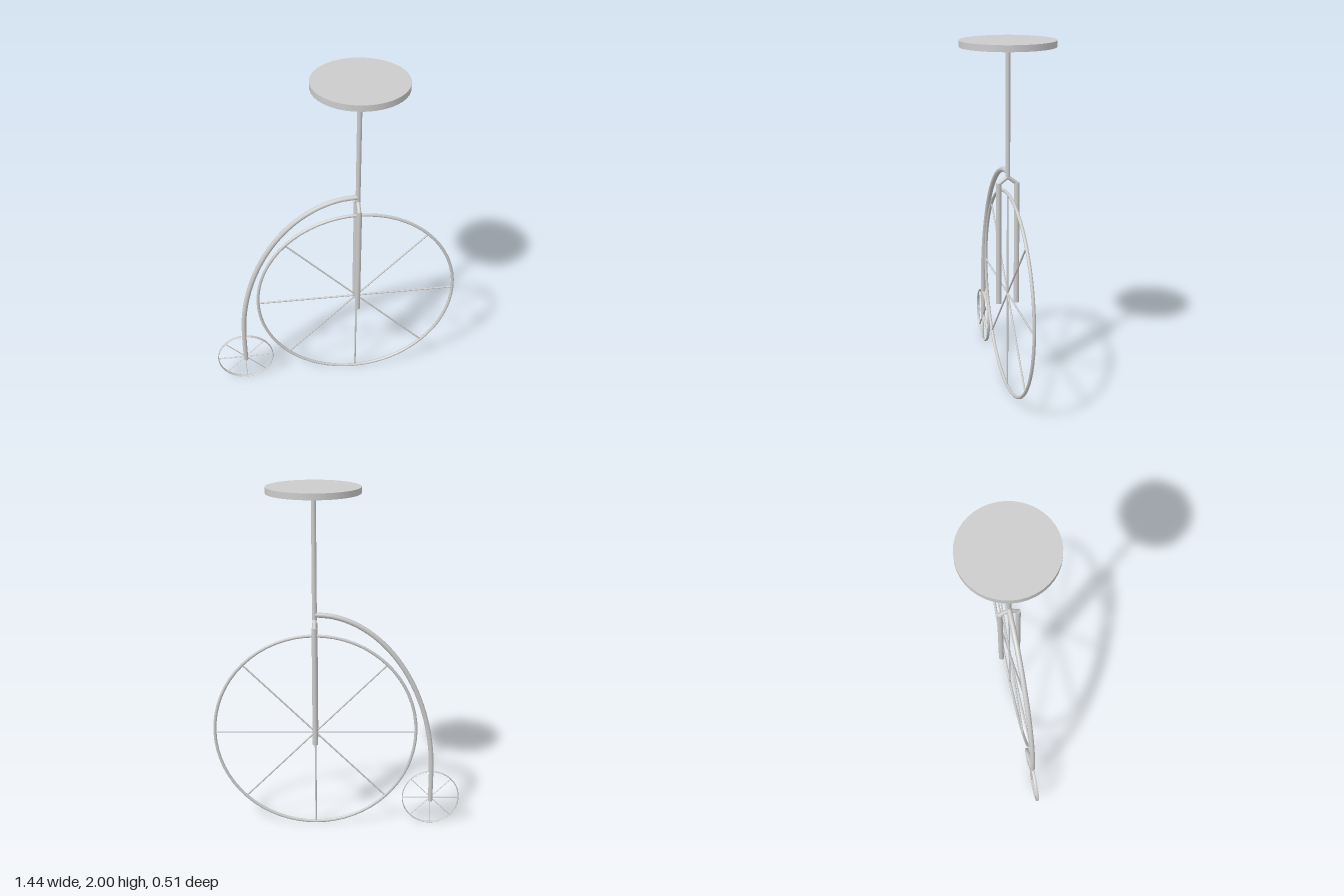
import * as THREE from 'three';

const material = new THREE.MeshStandardMaterial({ color: 0xcccccc });
const AXLE_X = 0.127, AXLE_Y = 0.592;
const REAR_X = -0.552, REAR_Y = 0.17;

function add(parent, name, geometry) {
  const mesh = new THREE.Mesh(geometry, material);
  mesh.name = name;
  parent.add(mesh);
  return mesh;
}

// Round bar between two points
function bar(parent, name, from, to, radius, sides = 12) {
  const a = new THREE.Vector3(...from), b = new THREE.Vector3(...to);
  const dir = b.clone().sub(a);
  const mesh = add(parent, name, new THREE.CylinderGeometry(radius, radius, dir.length(), sides));
  mesh.position.copy(a).add(b).multiplyScalar(0.5);
  mesh.quaternion.setFromUnitVectors(new THREE.Vector3(0, 1, 0), dir.normalize());
  return mesh;
}

// Spoked wheel; the small one is the big one shrunk within its own plane
function wheel(name, x, y, scale) {
  const group = new THREE.Group();
  group.name = name;
  add(group, 'rim', new THREE.TorusGeometry(0.582, 0.009, 10, 64));
  for (let i = 0; i < 8; i++) {
    const a = (i * Math.PI) / 4;
    bar(group, 'spoke', [0, 0, 0], [0.58 * Math.cos(a), 0.58 * Math.sin(a), 0], 0.005, 8);
  }
  group.scale.set(scale, scale, 1);
  group.position.set(x, y, 0);
  return group;
}

export function createModel() {
  const model = new THREE.Group();
  model.name = 'highWheelBicycle';

  model.add(wheel('frontWheel', AXLE_X, AXLE_Y, 1));
  model.add(wheel('rearWheel', REAR_X, REAR_Y, 0.286));

  // Seat and its post
  const seat = add(model, 'seat', new THREE.CylinderGeometry(0.256, 0.256, 0.034, 40));
  seat.position.set(AXLE_X, 1.983, 0);
  bar(model, 'seatPost', [AXLE_X, 1.265, 0], [AXLE_X, 1.97, 0], 0.0135);

  // Fork: a leg on each side of the front wheel, joined to the post
  for (const side of [-1, 1]) {
    bar(model, 'forkLeg', [AXLE_X, 0.535, side * 0.051], [AXLE_X, 1.235, side * 0.051], 0.0155);
    bar(model, 'forkShoulder', [AXLE_X, 1.227, side * 0.055], [AXLE_X, 1.268, 0], 0.011);
  }

  // Curved backbone sweeping from the post down to the rear axle
  const points = [];
  for (let i = 0; i <= 10; i++) {
    const a = (i / 10) * Math.PI / 2;
    points.push(new THREE.Vector3(
      AXLE_X + (REAR_X - AXLE_X) * Math.sin(a), 0.33 + 0.967 * Math.cos(a), 0));
  }
  const spine = new THREE.CatmullRomCurve3(points);
  add(model, 'backbone', new THREE.TubeGeometry(spine, 48, 0.0145, 10));
  bar(model, 'rearStay', [REAR_X, 0.145, 0], [REAR_X, 0.34, 0], 0.0135);

  return model;
}
